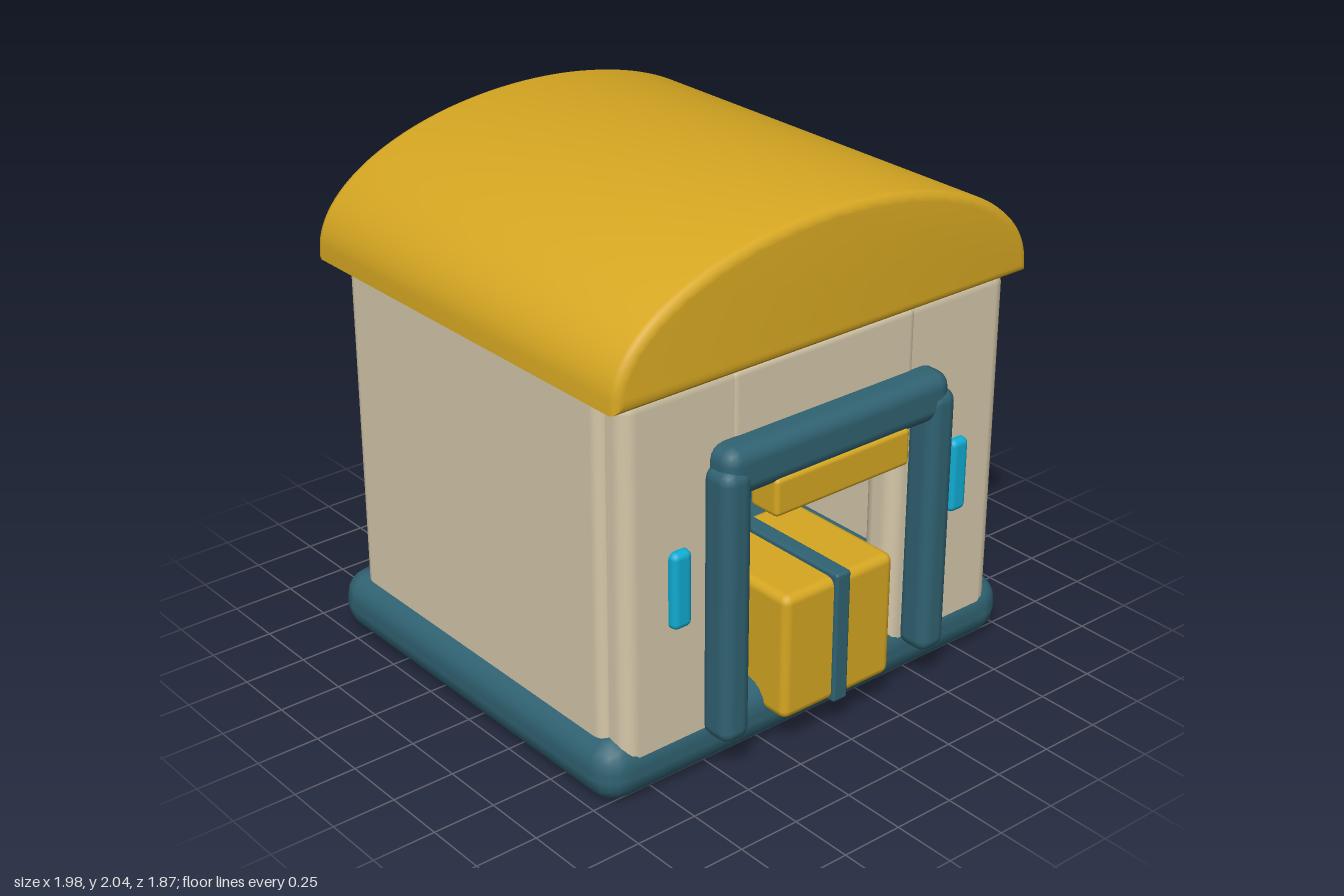
import * as THREE from 'three';
import { RoundedBoxGeometry } from 'three/addons/geometries/RoundedBoxGeometry.js';
import { toCreasedNormals } from 'three/addons/utils/BufferGeometryUtils.js';

function material(name, color) {
  const m = new THREE.MeshStandardMaterial({ color });
  m.name = name;
  return m;
}

export function createModel() {
  const group = new THREE.Group();
  const yellow = material('golden yellow', 0xd6a722);
  const beige = material('warm beige', 0xd6c8aa);
  const teal = material('dark teal', 0x306272);
  const cyan = material('bright cyan', 0x10acd2);

  // Rounded block given by its limits on each axis
  function block(name, mat, [x0, x1], [y0, y1], [z0, z1], radius) {
    const geo = new RoundedBoxGeometry(x1 - x0, y1 - y0, z1 - z0, 2, radius);
    const mesh = new THREE.Mesh(geo, mat);
    mesh.name = name;
    mesh.position.set((x0 + x1) / 2, (y0 + y1) / 2, (z0 + z1) / 2);
    group.add(mesh);
  }

  // The same block on both sides
  function pair(name, mat, [x0, x1], y, z, radius) {
    block(name + 'Left', mat, [x0, x1], y, z, radius);
    block(name + 'Right', mat, [-x1, -x0], y, z, radius);
  }

  // Base slab
  block('base', teal, [-0.99, 0.99], [0, 0.25], [-0.9, 0.82], 0.11);

  // Hollow walls
  pair('sideWall', beige, [0.77, 0.93], [0.12, 1.57], [-0.78, 0.72], 0.05);
  pair('frontWall', beige, [0.35, 0.9], [0.12, 1.57], [0.65, 0.81], 0.06);
  block('backWall', beige, [-0.91, 0.91], [0.12, 1.57], [-0.82, -0.66], 0.06);
  block('lintel', beige, [-0.44, 0.44], [1.13, 1.555], [0.65, 0.815], 0.04);
  block('backPanel', teal, [-0.5, 0.5], [0.2, 1.25], [-0.68, -0.63], 0.02);

  // Arched roof: half ellipse with a rounded bevel
  const bevel = 0.035;
  const arch = new THREE.Shape();
  arch.absellipse(0, 0, 0.925, 0.42, 0, Math.PI, false, 0);
  arch.closePath();
  const roofDepth = 1.78;
  const roofGeo = new THREE.ExtrudeGeometry(arch, {
    depth: roofDepth - 2 * bevel, curveSegments: 32,
    bevelEnabled: true, bevelSize: bevel, bevelThickness: bevel, bevelSegments: 3,
  });
  roofGeo.translate(0, 1.58, -0.93 + bevel);
  const roof = new THREE.Mesh(toCreasedNormals(roofGeo, 0.7), yellow);
  roof.name = 'roof';
  group.add(roof);

  // Door frame and sign
  pair('doorPost', teal, [0.42, 0.55], [0.15, 1.23], [0.78, 0.93], 0.05);
  block('doorBeam', teal, [-0.53, 0.53], [1.11, 1.3], [0.76, 0.92], 0.06);
  block('doorSign', yellow, [-0.32, 0.32], [0.99, 1.14], [0.78, 0.92], 0.02);

  // Wall lamps
  pair('wallLamp', cyan, [0.625, 0.71], [0.65, 0.95], [0.78, 0.845], 0.025);

  // Parcel with a band around it
  block('parcel', yellow, [-0.265, 0.265], [0.14, 0.65], [0.36, 0.92], 0.035);
  block('parcelBand', teal, [-0.035, 0.035], [0.135, 0.67], [0.345, 0.935], 0.012);

  return group;
}
